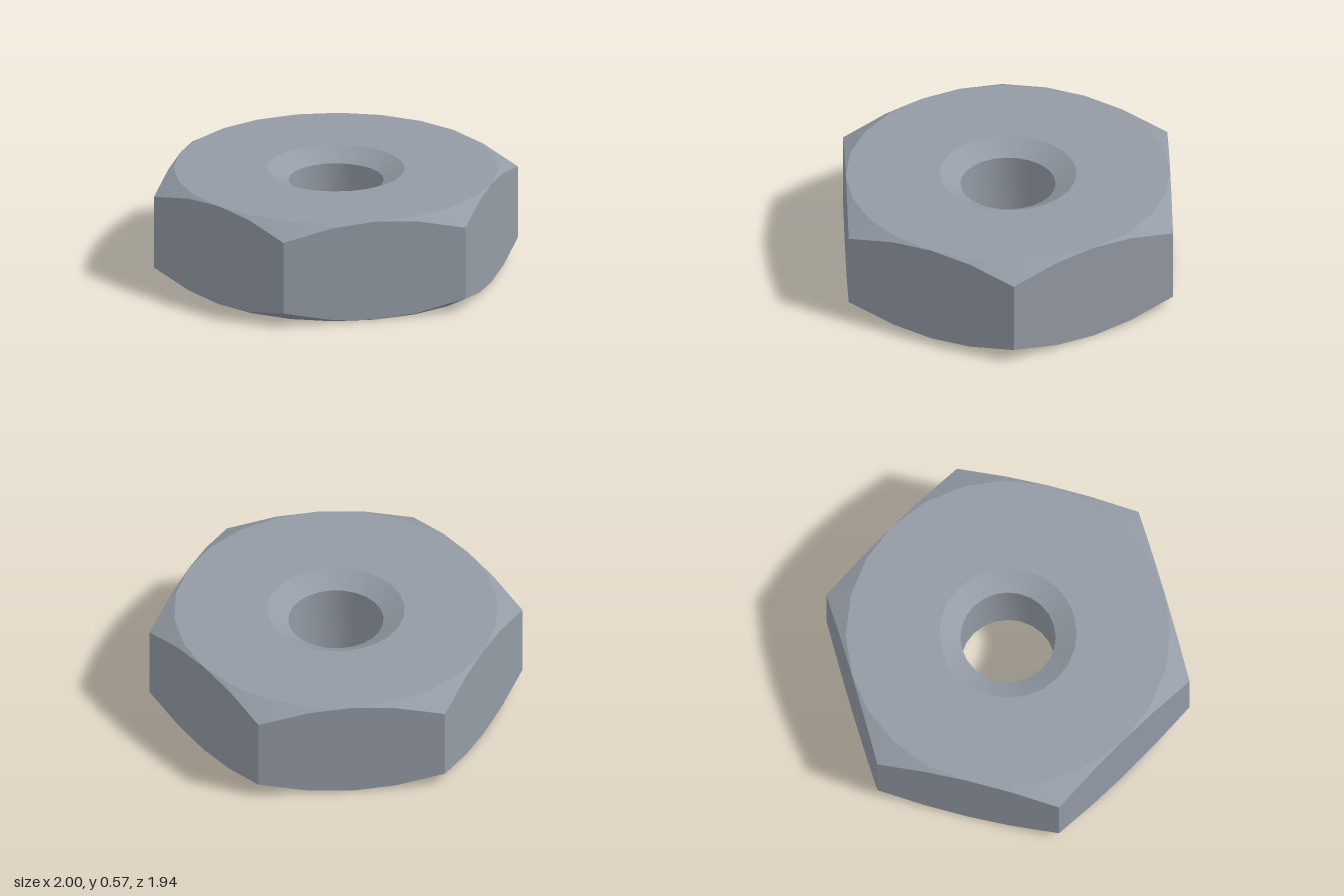
import * as THREE from 'three';

const SEG = 24;                     // four segments per hexagon side
const TURN = THREE.MathUtils.degToRad(12);
const HEIGHT = 0.568;
const INRADIUS = 0.885;             // centre to flat
const BORE = 0.26, SINK = 0.375;    // hole and countersink radii
const SLOPE = Math.tan(Math.PI / 6);

// Closed ring of points; radius and height are functions of the segment index
function ring(radius, height) {
  return Array.from({ length: SEG }, (_, i) => {
    const a = TURN + (i / SEG) * Math.PI * 2;
    return [radius(i) * Math.cos(a), height(i), radius(i) * Math.sin(a)];
  });
}

// Surface joining two rings, smooth around or faceted
function band(name, from, to, material, flat = false) {
  const index = [];
  for (let i = 0; i < SEG; i++) {
    const j = (i + 1) % SEG;
    index.push(i, SEG + i, SEG + j, i, SEG + j, j);
  }
  let geometry = new THREE.BufferGeometry();
  geometry.setAttribute('position', new THREE.Float32BufferAttribute([...from, ...to].flat(), 3));
  geometry.setIndex(index);
  if (flat) geometry = geometry.toNonIndexed();
  geometry.computeVertexNormals();
  const mesh = new THREE.Mesh(geometry, material);
  mesh.name = name;
  return mesh;
}

export function createModel() {
  const group = new THREE.Group();
  group.name = 'hexNut';
  const steel = new THREE.MeshStandardMaterial({ color: 0x949ba5 });
  steel.name = 'steel grey';

  // Hexagon outline; the conical chamfer drops further toward the corners
  const hex = (i) => INRADIUS / Math.cos(((i % 4) - 2) * Math.PI / 12);
  const drop = (i) => (hex(i) - INRADIUS) * SLOPE;
  const sinkDepth = (SINK - BORE) * SLOPE;
  const at = (v) => () => v;

  const bottomRim = ring(at(INRADIUS), at(0));
  const sideLow = ring(hex, drop);
  const sideHigh = ring(hex, (i) => HEIGHT - drop(i));
  const topRim = ring(at(INRADIUS), at(HEIGHT));
  const topSink = ring(at(SINK), at(HEIGHT));
  const boreHigh = ring(at(BORE), at(HEIGHT - sinkDepth));
  const boreLow = ring(at(BORE), at(sinkDepth));
  const bottomSink = ring(at(SINK), at(0));

  group.add(
    band('bottomChamfer', bottomRim, sideLow, steel),
    band('hexSides', sideLow, sideHigh, steel, true),
    band('topChamfer', sideHigh, topRim, steel),
    band('topFace', topRim, topSink, steel, true),
    band('topCountersink', topSink, boreHigh, steel),
    band('bore', boreHigh, boreLow, steel),
    band('bottomCountersink', boreLow, bottomSink, steel),
    band('bottomFace', bottomSink, bottomRim, steel, true),
  );
  return group;
}
